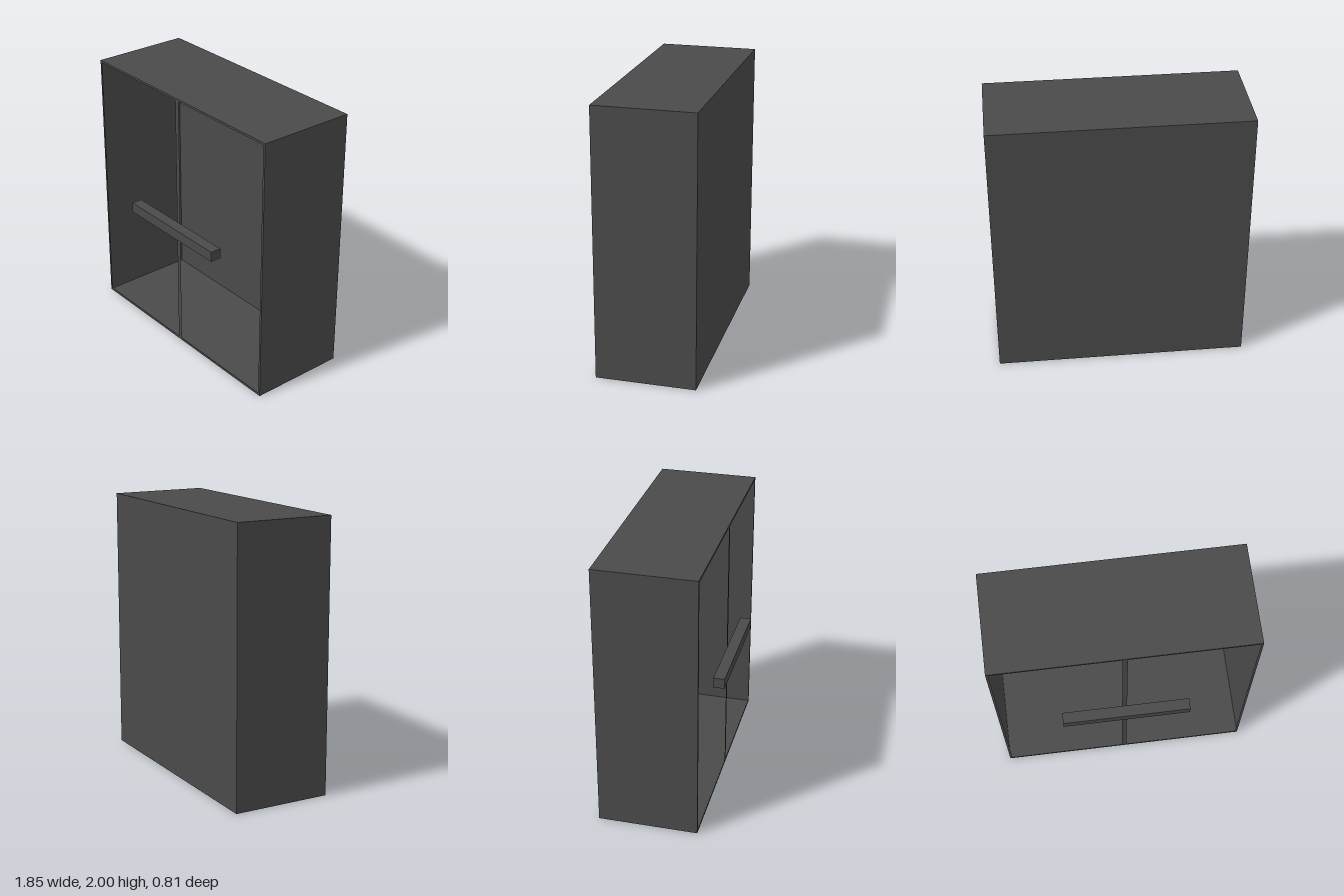
import * as THREE from 'three';

const W = 1.85, H = 2, BACK = -0.407, FRONT = 0.325;

export function createModel() {
  const group = new THREE.Group();
  const material = new THREE.MeshStandardMaterial({ color: 0x4a4a4a, side: THREE.DoubleSide });
  const add = (name, geometry, x, y, z) => {
    const mesh = new THREE.Mesh(geometry, material);
    mesh.name = name;
    mesh.position.set(x, y, z);
    group.add(mesh);
  };

  // Thin-walled cabinet: a box without its front (+z) face
  const shell = new THREE.BoxGeometry(W, H, FRONT - BACK);
  shell.setIndex(Array.from(shell.index.array).filter((_, i) => i < 24 || i >= 30));
  shell.clearGroups();
  add('cabinetShell', shell, 0, H / 2, (FRONT + BACK) / 2);

  // Flat front frame with two openings and a centre strip
  const rect = (path, x0, y0, x1, y1) =>
    path.moveTo(x0, y0).lineTo(x1, y0).lineTo(x1, y1).lineTo(x0, y1).closePath();
  const frame = new THREE.Shape();
  rect(frame, -W / 2, 0, W / 2, H);
  for (const [x0, x1] of [[-0.908, -0.018], [0.018, 0.908]]) {
    const opening = new THREE.Path();
    rect(opening, x0, 0.018, x1, 1.984);
    frame.holes.push(opening);
  }
  add('frontFrame', new THREE.ShapeGeometry(frame), 0, 0, FRONT);

  // Horizontal bar across the centre strip
  add('crossBar', new THREE.BoxGeometry(0.938, 0.077, 0.082), 0.008, 0.982, FRONT + 0.041);

  return group;
}
